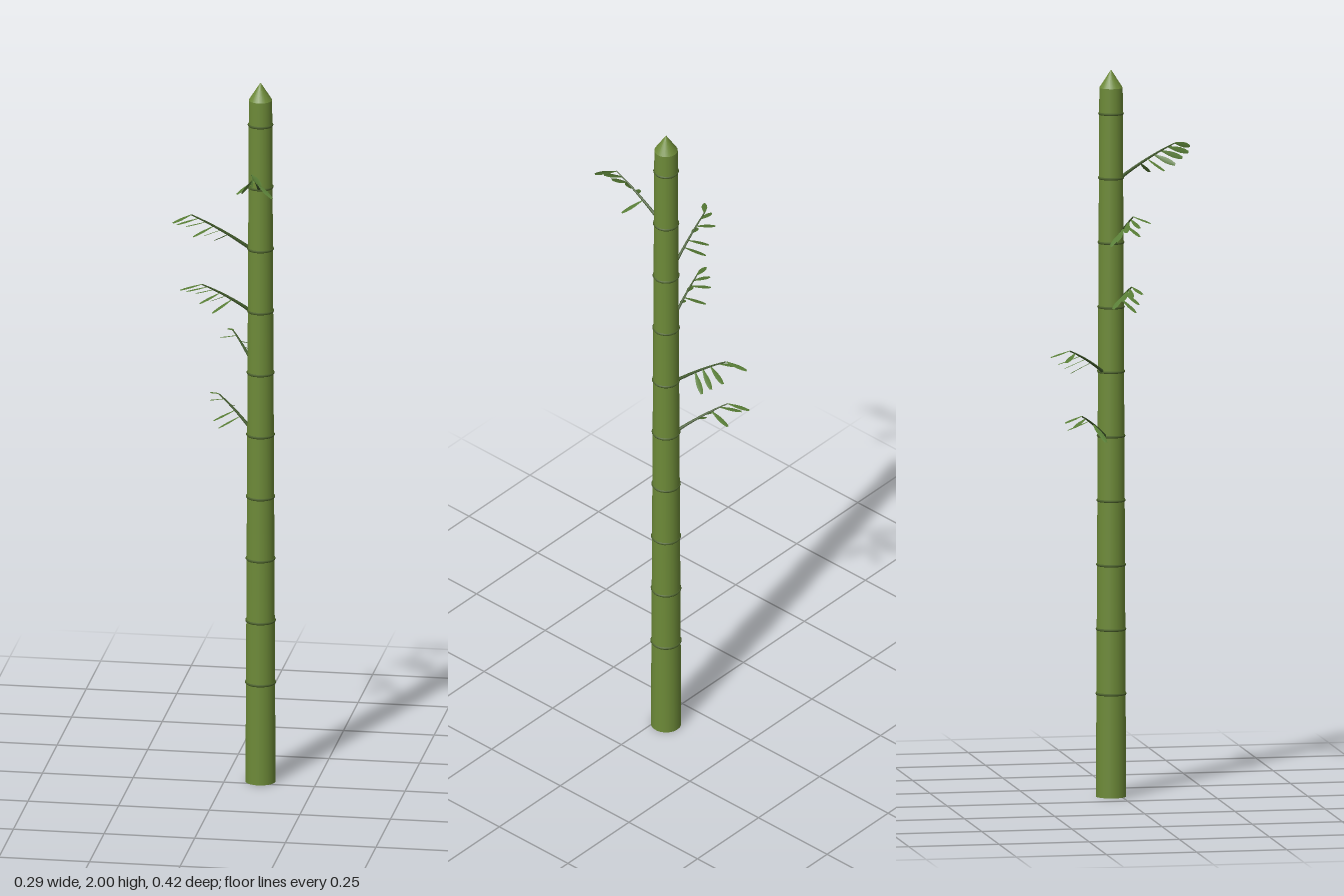
import * as THREE from 'three';

const CANE_X = 0.097, CANE_Z = -0.027;
const NODES = Array.from({ length: 10 }, (_, i) => 0.284 + i * 0.1773);
const radiusAt = (y) => 0.0415 - 0.0048 * y;

// One branch per upper node: heading, reach and rise of the stem, heading of each leaf from the stem
const BRANCHES = [
  { node: 8, heading: 1, reach: 0.177, rise: 0.09, spread: [54, -50, -27, -3, 8, 35], outerRoll: 1.3 },
  { node: 7, heading: -82, reach: 0.189, rise: 0.095, spread: [-48, -38, 20, -26, 4, 34], outerRoll: 0 },
  { node: 6, heading: -80, reach: 0.16, rise: 0.075, spread: [22, -48, 18, -35, -15, 8], outerRoll: 0 },
  { node: 5, heading: -144, reach: 0.165, rise: 0.072, spread: [-66, -62, -50, 19, -16], outerRoll: 0 },
  { node: 4, heading: -129, reach: 0.17, rise: 0.074, spread: [53, 55, -51, -4, -21], outerRoll: 0 },
];

// Level direction at a heading in degrees, measured from +z toward +x
function headingVector(degrees) {
  const a = THREE.MathUtils.degToRad(degrees);
  return new THREE.Vector3(Math.sin(a), 0, Math.cos(a));
}

// Curved stem, thinning toward its end
function stemGeometry(curve) {
  const geo = new THREE.TubeGeometry(curve, 8, 0.005, 6, false);
  const pos = geo.attributes.position, uv = geo.attributes.uv, p = new THREE.Vector3();
  for (let i = 0; i < pos.count; i++) {
    const t = uv.getX(i);
    p.fromBufferAttribute(pos, i).lerp(curve.getPointAt(t), 0.65 * t);
    pos.setXYZ(i, p.x, p.y, p.z);
  }
  return geo;
}

// Thin, gently folded blade along a direction, widest past its middle
function leafGeometry(along, roll) {
  const forward = along.clone().normalize();
  const across = new THREE.Vector3().crossVectors(forward, THREE.Object3D.DEFAULT_UP).normalize();
  across.applyAxisAngle(forward, roll);
  const fold = new THREE.Vector3().crossVectors(across, forward).multiplyScalar(0.0012);
  const geo = new THREE.PlaneGeometry(2, 1, 2, 5);
  const pos = geo.attributes.position, p = new THREE.Vector3();
  for (let i = 0; i < pos.count; i++) {
    const side = pos.getX(i), t = pos.getY(i) + 0.5;
    const halfWidth = 0.0018 + 0.006 * Math.sin(Math.PI * 0.9 * Math.pow(t, 1.2));
    p.copy(along).multiplyScalar(t).addScaledVector(across, side * halfWidth);
    p.addScaledVector(fold, 1 - Math.abs(side));
    pos.setXYZ(i, p.x, p.y, p.z);
  }
  geo.computeVertexNormals();
  return geo;
}

export function createModel() {
  const model = new THREE.Group();
  const caneMat = new THREE.MeshStandardMaterial({ color: 0x6d8a38 });
  const ringMat = new THREE.MeshStandardMaterial({ color: 0x4c622b });
  const stemMat = new THREE.MeshStandardMaterial({ color: 0x40592a });
  const leafMat = new THREE.MeshStandardMaterial({ color: 0x587d36, side: THREE.DoubleSide });
  const add = (parent, name, geo, material) => {
    const mesh = new THREE.Mesh(geo, material);
    mesh.name = name;
    parent.add(mesh);
    return mesh;
  };

  // Cane, one tapered section between each pair of nodes
  const cane = new THREE.Group();
  cane.name = 'cane';
  cane.position.set(CANE_X, 0, CANE_Z);
  model.add(cane);
  const levels = [0, ...NODES, 1.95];
  for (let i = 0; i + 1 < levels.length; i++) {
    const a = levels[i], b = levels[i + 1];
    const geo = new THREE.CylinderGeometry(radiusAt(b), radiusAt(a), b - a, 20, 1, i > 0);
    add(cane, 'caneSection', geo, caneMat).position.y = (a + b) / 2;
  }

  // Pointed top
  add(cane, 'caneTip', new THREE.ConeGeometry(radiusAt(1.95), 0.05, 20), caneMat).position.y = 1.975;

  // Node rings
  for (const y of NODES) {
    const ring = add(cane, 'nodeRing', new THREE.TorusGeometry(radiusAt(y) - 0.001, 0.0038, 6, 20), ringMat);
    ring.rotation.x = Math.PI / 2;
    ring.position.y = y;
  }

  // Leafy side branches
  for (const { node, heading, reach, rise, spread, outerRoll } of BRANCHES) {
    const branch = new THREE.Group();
    branch.name = 'branch';
    model.add(branch);
    const y = NODES[node], dir = headingVector(heading);
    const root = new THREE.Vector3(CANE_X, y, CANE_Z);
    const start = root.clone().addScaledVector(dir, radiusAt(y) - 0.006);
    const end = root.clone().addScaledVector(dir, reach);
    end.y += rise;
    const bend = start.clone().lerp(end, 0.5);
    bend.y += 0.01;
    const curve = new THREE.QuadraticBezierCurve3(start, bend, end);
    add(branch, 'stem', stemGeometry(curve), stemMat);

    // Drooping leaves along the outer part of the stem
    spread.forEach((turn, i) => {
      const t = THREE.MathUtils.lerp(0.38, 1, i / (spread.length - 1));
      const along = headingVector(heading + turn).multiplyScalar(0.06);
      along.y = -THREE.MathUtils.lerp(0.045, 0.014, t);
      const leaf = add(branch, 'leaf', leafGeometry(along, i > 1 ? outerRoll : 0), leafMat);
      leaf.position.copy(curve.getPointAt(t));
    });
  }
  return model;
}
